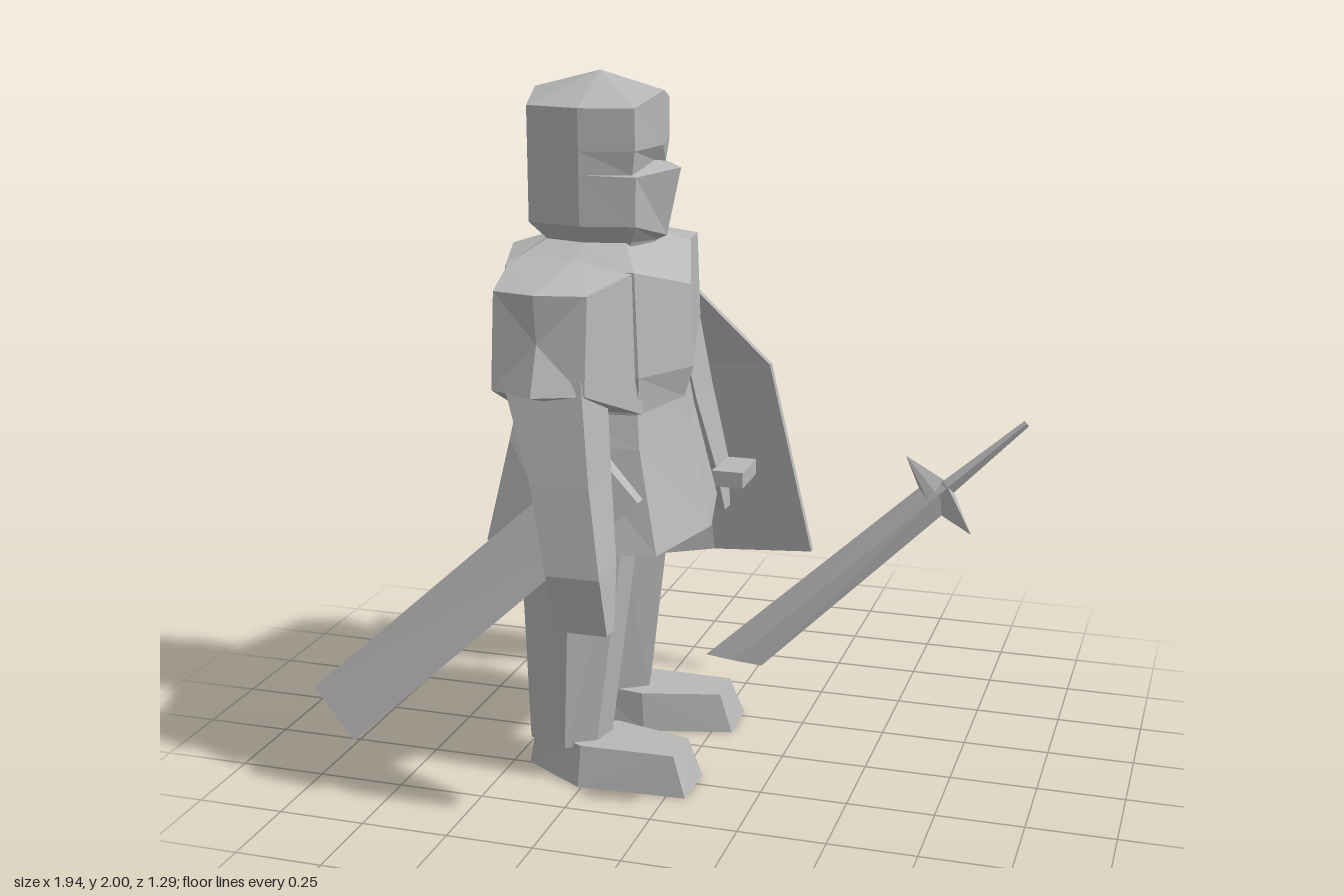
import * as THREE from 'three';

const CZ = 0.035; // symmetry plane of the figure
const steel = new THREE.MeshStandardMaterial({ color: 0xb8b8b8 });
steel.name = 'steel grey';

// Faceted closed solid through rings of equal point count
function loft(name, rings, apex) {
  const tris = [];
  const n = rings[0].length;
  const centre = (r) => [0, 1, 2].map((k) => r.reduce((s, p) => s + p[k], 0) / n);
  for (let i = 0; i < rings.length - 1; i++) {
    for (let j = 0; j < n; j++) {
      const k = (j + 1) % n;
      const a = rings[i][j], b = rings[i][k], c = rings[i + 1][k], d = rings[i + 1][j];
      tris.push([a, b, c], [a, c, d]);
    }
  }
  const first = rings[0], last = rings[rings.length - 1];
  const c0 = centre(first), c1 = apex || centre(last);
  for (let j = 0; j < n; j++) {
    const k = (j + 1) % n;
    tris.push([first[k], first[j], c0], [last[j], last[k], c1]);
  }
  // Signed volume decides which way the faces must turn
  let vol = 0;
  const [u, v, w] = [new THREE.Vector3(), new THREE.Vector3(), new THREE.Vector3()];
  for (const [a, b, c] of tris) vol += u.fromArray(a).dot(v.fromArray(b).cross(w.fromArray(c)));
  const pos = tris.flatMap((t) => (vol < 0 ? [t[0], t[2], t[1]] : t)).flat();
  const geo = new THREE.BufferGeometry();
  geo.setAttribute('position', new THREE.Float32BufferAttribute(pos, 3));
  geo.computeVertexNormals();
  const mesh = new THREE.Mesh(geo, steel);
  mesh.name = name;
  return mesh;
}

// Ring from half outline [x, y, distance from symmetry plane], front to back
const sym = (half) => [
  ...half.map(([x, y, d]) => [x, y, CZ + d]),
  ...half.slice(1, -1).reverse().map(([x, y, d]) => [x, y, CZ - d]),
];
// Eight-sided ring: front, front corner, side, back corner, back
const oct = (f, fy, fc, fd, sd, y, bc, bd, b, by) =>
  sym([[f, fy, 0], [fc, y, fd], [-0.28, y, sd], [bc, y, bd], [b, by, 0]]);
// Four-sided level ring
const quad = (y, x0, x1, z0, z1) => [[x0, y, z0], [x1, y, z0], [x1, y, z1], [x0, y, z1]];
const mirror = (rings) => rings.map((r) => r.map(([x, y, z]) => [x, y, 2 * CZ - z]));

export function createModel() {
  const model = new THREE.Group();
  model.name = 'armouredFighter';

  // Helmet with projecting face guard and eye slot
  model.add(loft('helmet', [
    oct(-0.14, 1.48, -0.17, 0.1, 0.13, 1.48, -0.39, 0.1, -0.41, 1.48),
    oct(-0.12, 1.535, -0.155, 0.12, 0.145, 1.545, -0.4, 0.12, -0.43, 1.545),
    oct(-0.09, 1.55, -0.13, 0.155, 0.19, 1.595, -0.44, 0.155, -0.475, 1.555),
    oct(-0.048, 1.74, -0.128, 0.155, 0.19, 1.73, -0.44, 0.155, -0.474, 1.73),
    oct(-0.125, 1.757, -0.14, 0.15, 0.19, 1.735, -0.44, 0.155, -0.474, 1.735),
    oct(-0.1, 1.8, -0.13, 0.155, 0.19, 1.8, -0.44, 0.155, -0.473, 1.8),
    oct(-0.096, 1.95, -0.13, 0.155, 0.19, 1.915, -0.44, 0.155, -0.473, 1.95),
  ], [-0.28, 2, CZ]));

  // Tunic from flared hem to collar
  model.add(loft('tunic', [
    oct(0.04, 0.71, -0.03, 0.3, 0.36, 0.71, -0.53, 0.3, -0.6, 0.71),
    oct(-0.024, 1, -0.09, 0.26, 0.29, 1, -0.47, 0.26, -0.525, 1),
    oct(-0.04, 1.09, -0.1, 0.24, 0.265, 1.09, -0.455, 0.24, -0.51, 1.09),
    oct(-0.012, 1.18, -0.09, 0.26, 0.28, 1.2, -0.48, 0.26, -0.56, 1.29),
    oct(-0.02, 1.415, -0.1, 0.26, 0.28, 1.49, -0.47, 0.26, -0.55, 1.505),
    oct(-0.13, 1.54, -0.17, 0.12, 0.14, 1.545, -0.4, 0.12, -0.43, 1.54),
  ]));

  // Wide sleeves, arms, legs and boots on both sides
  const sleeve = [
    [[-0.09, 1.09, 0.26], [-0.28, 1.09, 0.26], [-0.47, 1.09, 0.26],
      [-0.47, 1.5, 0.26], [-0.28, 1.51, 0.26], [-0.1, 1.49, 0.26]],
    [[-0.15, 1.21, 0.56], [-0.28, 1.21, 0.615], [-0.41, 1.21, 0.56],
      [-0.41, 1.47, 0.53], [-0.28, 1.475, 0.58], [-0.15, 1.47, 0.53]],
  ];
  const arm = [
    quad(1.25, -0.38, -0.16, 0.36, 0.56),
    quad(0.98, -0.29, -0.125, 0.43, 0.61),
    quad(0.74, -0.235, -0.085, 0.51, 0.648),
    quad(0.58, -0.22, -0.072, 0.57, 0.63),
  ];
  const limb = (y, x0, x1, z0, z1) => {
    const m = (z0 + z1) / 2, xm = x0 + (x1 - x0) * 0.55;
    return [[x1, y, m - 0.03], [x1 - 0.02, y, m + 0.05], [xm, y, z1],
      [x0, y, m + 0.05], [x0, y, m - 0.05], [xm, y, z0]];
  };
  const leg = [limb(0.8, -0.46, -0.12, 0.07, 0.365), limb(0.1, -0.43, -0.21, 0.14, 0.335)];
  const boot = [
    [[0.055, 0, 0.35], [0.06, 0, 0.19], [-0.2, 0, 0.125],
      [-0.42, 0, 0.15], [-0.45, 0, 0.25], [-0.26, 0, 0.367]],
    [[0.015, 0.115, 0.33], [0.02, 0.115, 0.2], [-0.21, 0.115, 0.14],
      [-0.41, 0.115, 0.17], [-0.43, 0.115, 0.25], [-0.26, 0.115, 0.338]],
  ];
  for (const [name, rings] of Object.entries({ Sleeve: sleeve, Arm: arm, Leg: leg, Boot: boot })) {
    model.add(loft('right' + name, rings), loft('left' + name, mirror(rings)));
  }

  // Shield, folded outward along its middle column
  const plate = (pts) => [
    ...pts.map(([x, y, z]) => [x, y, z]),
    ...pts.slice().reverse().map(([x, y, z]) => [x, y, z + 0.025]),
  ];
  model.add(loft('shield', [
    plate([[-0.48, 0.365, -0.565], [-0.5, 1.05, -0.565], [-0.5, 1.052, -0.565]]),
    plate([[-0.14, 0.405, -0.645], [-0.2, 1.02, -0.63], [-0.26, 1.35, -0.565]]),
    plate([[0.2, 0.455, -0.565], [0.06, 1.05, -0.565], [0.06, 1.052, -0.565]]),
  ]));
  const grip = new THREE.Mesh(new THREE.BoxGeometry(0.1, 0.05, 0.16), steel);
  grip.name = 'shieldGrip';
  grip.position.set(-0.04, 0.71, -0.49);
  model.add(grip);

  // Scabbard slung at the right hip
  model.add(loft('scabbard', [
    [[-0.97, 0.305, 0.52], [-0.97, 0.305, 0.57], [-0.84, 0.17, 0.6], [-0.84, 0.17, 0.56]],
    [[-0.19, 1.01, 0.33], [-0.19, 1.01, 0.38], [-0.06, 0.88, 0.4], [-0.06, 0.88, 0.36]],
  ]));

  // Sword: diamond sections given as axis position, half width, half thickness, slant
  const start = new THREE.Vector3(0.225, 0.48, 0.45);
  const along = new THREE.Vector3(0.96, 1.155, 0.285).sub(start);
  const len = along.length();
  along.normalize();
  const across = new THREE.Vector3(0.68, -0.73, 0.08).normalize();
  const thick = new THREE.Vector3().crossVectors(along, across).normalize();
  const section = (t, w, h, slant = 0) =>
    [[-w, 0, -slant], [0, h, 0], [w, 0, slant], [0, -h, 0]].map(([a, b, s]) =>
      start.clone().addScaledVector(along, t + s).addScaledVector(across, a)
        .addScaledVector(thick, b).toArray());
  const sword = new THREE.Group();
  sword.name = 'sword';
  const g = 0.715;
  sword.add(
    loft('blade', [section(0, 0.058, 0.006, 0.05), section(g, 0.046, 0.015)]),
    loft('guard', [section(g - 0.03, 0.04, 0.012), section(g, 0.133, 0.012), section(g + 0.035, 0.025, 0.02)]),
    loft('handle', [section(g, 0.022, 0.02), section(len, 0.009, 0.009)]),
  );
  model.add(sword);
  return model;
}
